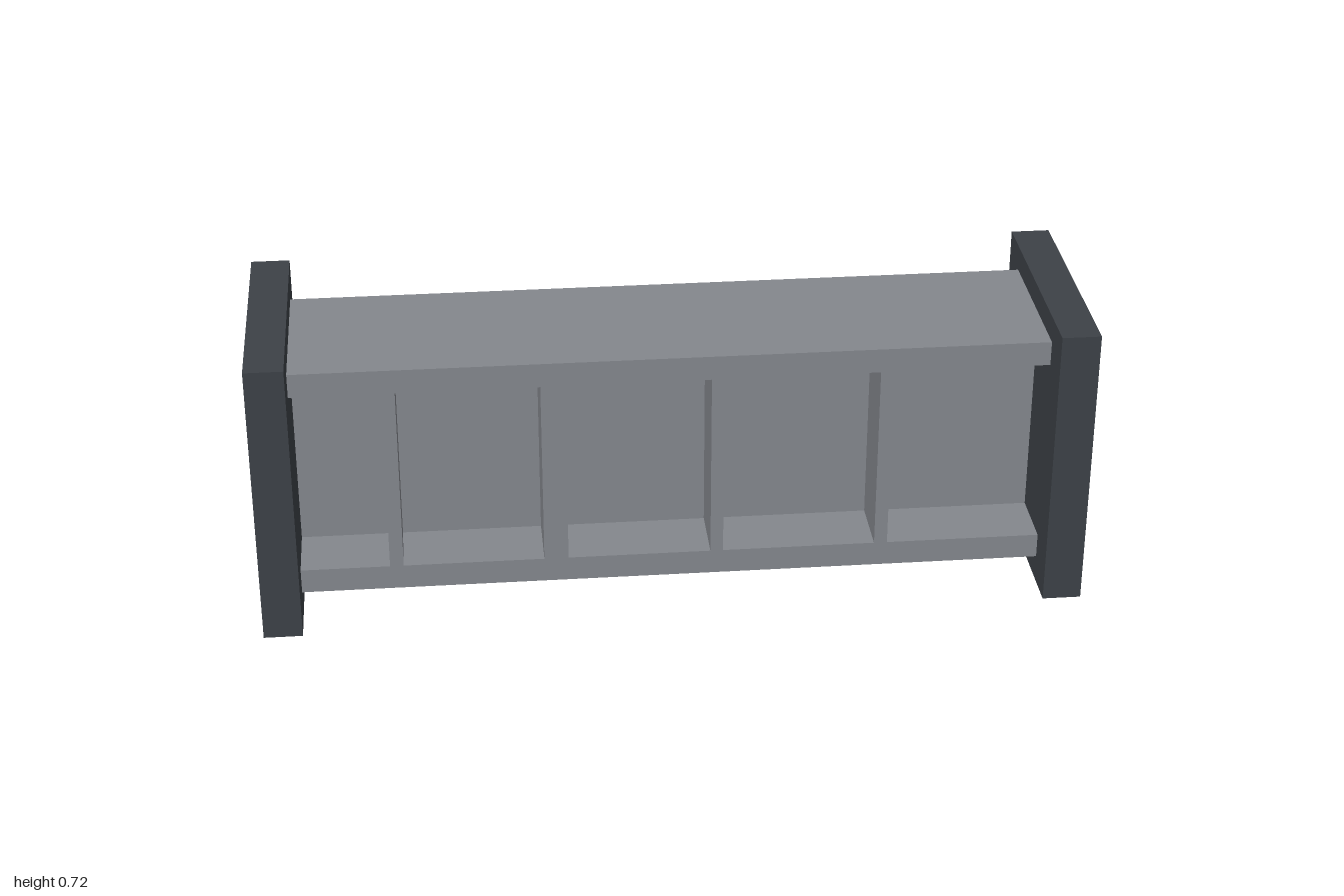
import * as THREE from 'three';

export function createModel() {
  const model = new THREE.Group();
  model.name = 'stiffenedBeam';

  const beamGrey = new THREE.MeshStandardMaterial({ color: 0x84878d });
  beamGrey.name = 'beamGrey';
  const plateGrey = new THREE.MeshStandardMaterial({ color: 0x3d4147 });
  plateGrey.name = 'darkPlateGrey';

  // box given by its min and max corners
  function box(name, material, [x0, y0, z0], [x1, y1, z1]) {
    const mesh = new THREE.Mesh(new THREE.BoxGeometry(x1 - x0, y1 - y0, z1 - z0), material);
    mesh.position.set((x0 + x1) / 2, (y0 + y1) / 2, (z0 + z1) / 2);
    mesh.name = name;
    model.add(mesh);
  }

  const inner = 0.906; // inside face of the end plates
  const flangeZ = 0.2; // half width of the flanges
  const webZ = 0.043; // half thickness of the web

  // end plates
  box('rightEndPlate', plateGrey, [-1, 0, -0.297], [-inner, 0.72, 0.297]);
  box('leftEndPlate', plateGrey, [inner, 0, -0.297], [1, 0.72, 0.297]);

  // I-beam: two flanges and the web between them
  box('bottomFlange', beamGrey, [-inner, 0.063, -flangeZ], [inner, 0.125, flangeZ]);
  box('topFlange', beamGrey, [-inner, 0.599, -flangeZ], [inner, 0.66, flangeZ]);
  box('web', beamGrey, [-inner, 0.125, -webZ], [inner, 0.599, webZ]);

  // stiffeners on both sides of the web, flush with the flange edges
  const stiffeners = [[-0.69, -0.657], [-0.315, -0.256], [0.092, 0.123], [0.497, 0.529]];
  for (const [x0, x1] of stiffeners) {
    box('frontStiffener', beamGrey, [x0, 0.125, webZ], [x1, 0.599, flangeZ]);
    box('backStiffener', beamGrey, [x0, 0.125, -flangeZ], [x1, 0.599, -webZ]);
  }

  return model;
}
